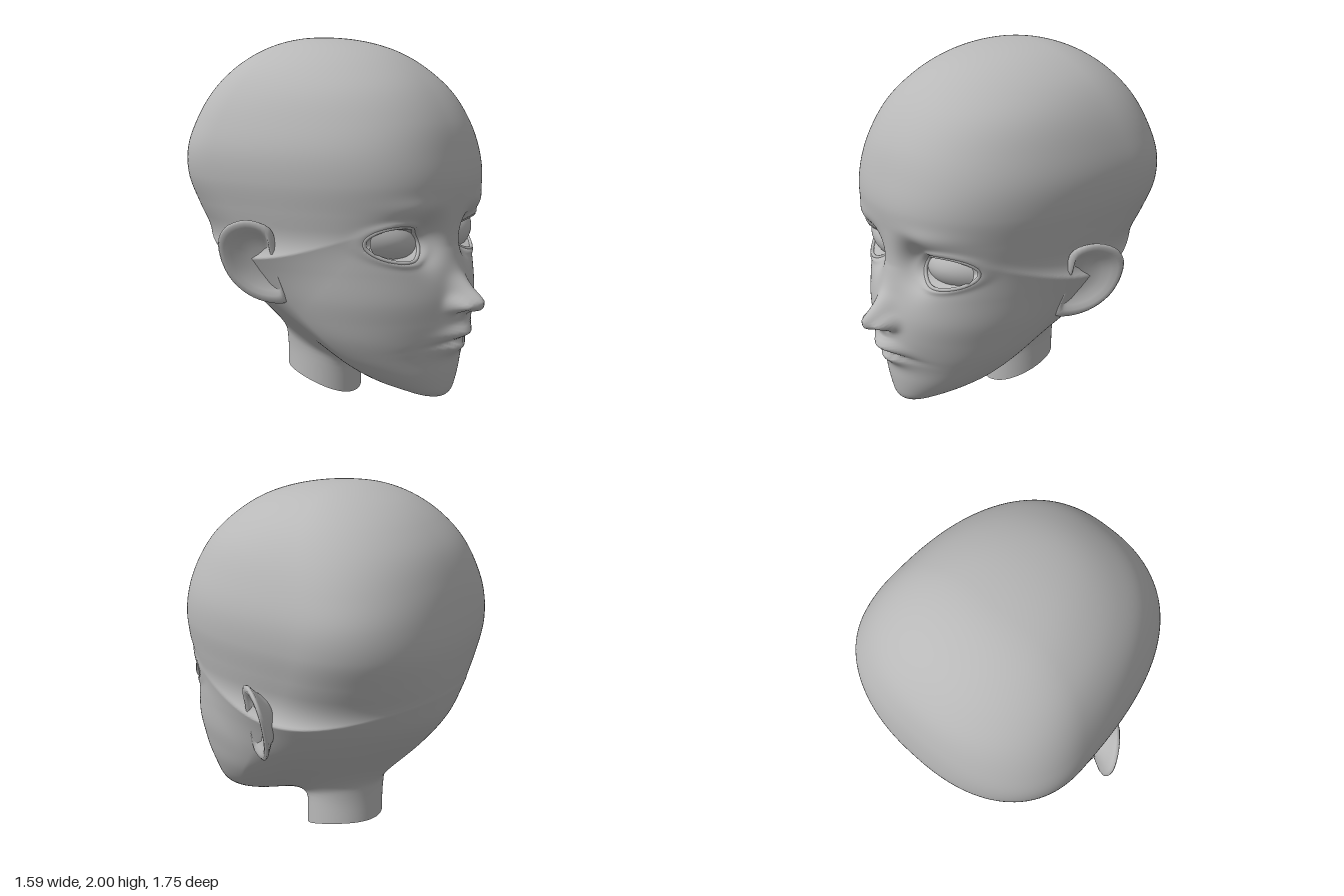
import * as THREE from 'three';
import { mergeVertices } from 'three/addons/utils/BufferGeometryUtils.js';

const V = (x, y, z) => new THREE.Vector3(x, y, z);
const g = (t, s) => Math.exp(-(t * t) / (s * s));

// Smooth curve through rows [key, a, b, ...]
function sample(rows, key) {
  const last = rows.length - 1;
  if (key <= rows[0][0]) return rows[0].slice(1);
  if (key >= rows[last][0]) return rows[last].slice(1);
  let i = 0;
  while (key > rows[i + 1][0]) i++;
  const h = rows[i + 1][0] - rows[i][0], t = (key - rows[i][0]) / h;
  const slope = (n, c) => {
    const a = rows[Math.max(n - 1, 0)], b = rows[Math.min(n + 1, last)];
    return (b[c] - a[c]) / (b[0] - a[0]);
  };
  return rows[i].slice(1).map((v, k) => THREE.MathUtils.clamp(
    (2 * t ** 3 - 3 * t * t + 1) * v + (3 * t * t - 2 * t ** 3) * rows[i + 1][k + 1]
    + h * ((t ** 3 - 2 * t * t + t) * slope(i, k + 1) + (t ** 3 - t * t) * slope(i + 1, k + 1)),
    Math.min(v, rows[i + 1][k + 1]) - 0.02, Math.max(v, rows[i + 1][k + 1]) + 0.02));
}

// Horizontal sections: height, half width, front z, widest z, back z, front and back roundness
const poleKey = (y) => Math.asin(THREE.MathUtils.clamp((y - 1.05) / 0.95, -1, 1));
const sections = [
  [0.10, 0.03, 0.62, 0.58, 0.52, 2, 2],
  [0.13, 0.13, 0.665, 0.52, 0.40, 2, 2],
  [0.18, 0.22, 0.68, 0.42, 0.18, 1.9, 1.8],
  [0.25, 0.31, 0.69, 0.33, 0.02, 1.85, 1.6],
  [0.33, 0.385, 0.695, 0.26, -0.17, 1.85, 1.45],
  [0.43, 0.455, 0.715, 0.18, -0.385, 1.9, 1.4],
  [0.53, 0.505, 0.735, 0.10, -0.54, 1.95, 1.5],
  [0.65, 0.55, 0.735, 0.01, -0.67, 2.1, 1.7],
  [0.80, 0.585, 0.71, -0.09, -0.78, 2.25, 1.95],
  [0.95, 0.615, 0.70, -0.18, -0.83, 2.35, 2.15],
  [1.10, 0.655, 0.71, -0.27, -0.86, 2.45, 2.3],
  [1.25, 0.69, 0.725, -0.34, -0.875, 2.5, 2.4],
  [1.40, 0.695, 0.70, -0.36, -0.86, 2.5, 2.4],
  [1.55, 0.66, 0.65, -0.33, -0.825, 2.4, 2.3],
  [1.70, 0.595, 0.555, -0.28, -0.76, 2.3, 2.2],
  [1.82, 0.505, 0.43, -0.24, -0.66, 2.1, 2.1],
  [1.91, 0.385, 0.28, -0.22, -0.54, 2, 2],
  [1.97, 0.24, 0.09, -0.20, -0.40, 2, 2],
  [2.00, 0.01, -0.19, -0.20, -0.21, 2, 2],
].map(([y, ...rest]) => [poleKey(y), ...rest]);

const noseProfile = [[0.53, 0], [0.575, 0.035], [0.603, 0.12], [0.63, 0.138], [0.655, 0.14],
  [0.715, 0.078], [0.79, 0.025], [0.92, 0]];

const EYE = { x: 0.312, y: 0.95, w: 0.145, h: 0.088, tilt: 0.1 };

// How far the features push the face forward
function relief(x, y) {
  const ax = Math.abs(x);
  let d = sample(noseProfile, y)[0] * g(ax, 0.065);
  d += 0.06 * g(ax - 0.075, 0.035) * g(y - 0.625, 0.035);          // nostril wings
  d -= 0.025 * g(ax - 0.045, 0.02) * g(y - 0.588, 0.016);          // nostrils
  d += 0.025 * g(ax, 0.16) * g(y - 0.47, 0.1);                     // muzzle
  const line = 0.428 - 0.5 * ax * ax;                              // lips
  d += 0.04 * g(ax, 0.12) * g(y - line - 0.045, 0.035);
  d += 0.03 * g(ax, 0.09) * g(y - line + 0.04, 0.035);
  d -= 0.024 * g(ax, 0.15) * g(y - line, 0.017);
  d -= 0.055 * g(ax - 0.27, 0.13) * g(y - 0.96, 0.09);             // eye sockets
  d -= 0.09 * g(ax - 0.18, 0.085) * g(y - 0.95, 0.11);
  d += 0.015 * g(ax - 0.28, 0.16) * g(y - 1.13, 0.05);             // brows
  const ex = (ax - EYE.x) / EYE.w, ey = (y - EYE.y - EYE.tilt * (ax - EYE.x)) / EYE.h;
  const r = Math.hypot(ex, ey);
  d += 0.014 * g(r - 1.15, 0.18);                                  // eyelids
  d -= 0.06 * (1 - THREE.MathUtils.smoothstep(r, 0.75, 1.02));     // eye openings
  return d;
}

// Negative inside the head and neck
function field(x, y, z) {
  const [w, zf, zc, zb, pf, pb] = sample(sections, poleKey(y));
  const zz = z > 0.2 ? z - relief(x, y) * THREE.MathUtils.smoothstep(z, 0.2, 0.4) : z;
  const front = zz > zc, b = front ? zf - zc : zc - zb, p = front ? pf : pb;
  const q = (Math.abs(x / w) ** p + Math.abs((zz - zc) / b) ** p) ** (1 / p);
  const head = Math.max((q - 1) * Math.min(w, b), y - 2, 0.1 - y);
  // The neck flares towards the skull
  const flare = Math.max(y - 0.2, 0) ** 2;
  const round = Math.hypot(x / (0.2 + 0.8 * flare), (z + 0.19) / (0.22 + 0.2 * flare));
  const neck = Math.max((round - 1) * 0.2, y - 0.8);
  const k = 0.22, h = Math.max(k - Math.abs(head - neck), 0) / k;
  return Math.min(head, neck) - h * h * k / 4;
}

// Distance along a ray to the surface
function cast(o, dir, near, far) {
  for (let i = 0; i < 28; i++) {
    const m = (near + far) / 2;
    if (field(o.x + dir.x * m, o.y + dir.y * m, o.z + dir.z * m) < 0) near = m; else far = m;
  }
  return near;
}
const faceZ = (x, y) => 0.2 + cast(V(x, y, 0.2), V(0, 0, 1), 0, 0.9);

// Smooth surface of nu rows, each a closed loop of nv points
function loft(nu, nv, fn, flip = false) {
  const pos = [], idx = [];
  for (let i = 0; i <= nu; i++)
    for (let j = 0; j < nv; j++) pos.push(...fn(i / nu, j / nv, i).toArray());
  for (let i = 0; i < nu; i++)
    for (let j = 0; j < nv; j++) {
      const k = (j + 1) % nv, a = i * nv + j, b = a + nv, c = i * nv + k, d = c + nv;
      idx.push(...(flip ? [a, c, b, b, c, d] : [a, b, c, b, d, c]));
    }
  let geo = new THREE.BufferGeometry();
  geo.setAttribute('position', new THREE.Float32BufferAttribute(pos, 3));
  geo.setIndex(idx);
  geo = mergeVertices(geo, 1e-5);
  geo.computeVertexNormals();
  return geo;
}

// Skull, face and open neck, finer towards the face
function headGeometry() {
  const c = V(0, 1, -0.19);
  return loft(260, 220, (u, v) => {
    const a = v * Math.PI * 2, phi = a - 0.5 * Math.sin(a);
    const sx = Math.sin(phi), cz = Math.cos(phi);
    const rho = 1 / Math.hypot(sx / 0.2, cz / 0.22);
    const t = (0.03 - (c.z + rho * cz)) / 0.44;
    const theta = u * Math.atan2(rho, 0.13 * (2 * t - t * t) - 1);
    const dir = V(Math.sin(theta) * sx, Math.cos(theta), Math.sin(theta) * cz);
    return dir.clone().multiplyScalar(cast(c, dir, 0.1, 1.7)).add(c);
  });
}

// Point in the tilted oval of an eye
function eyePoint(r, angle) {
  const dx = Math.cos(angle) * EYE.w * r;
  return [EYE.x + dx, EYE.y + Math.sin(angle) * EYE.h * r + EYE.tilt * dx];
}

// Domed eyeball, turned outwards
const eyeGeometry = (side) => loft(10, 40, (u, v) => {
  const [x, y] = eyePoint(u * 1.03, v * Math.PI * 2);
  return V(side * x, y, 0.537 - 0.22 * (x - EYE.x) + 0.045 * (1 - u * u));
}, side < 0);

// Soft rim around the eye opening
function lidGeometry(side) {
  const pts = [];
  for (let i = 0; i < 32; i++) {
    const [x, y] = eyePoint(1.04, i / 32 * Math.PI * 2);
    pts.push(V(side * x, y, faceZ(x, y) - 0.006));
  }
  return new THREE.TubeGeometry(new THREE.CatmullRomCurve3(pts, true), 64, 0.01, 8, true);
}

// Ear outline as z, y; rings as scale and sideways offset, from the hollow round to the back
const earOutline = new THREE.CatmullRomCurve3([
  [0.02, 0.62], [-0.04, 0.61], [-0.13, 0.645], [-0.20, 0.73], [-0.23, 0.85], [-0.22, 0.96],
  [-0.17, 1.03], [-0.08, 1.06], [0, 1.02], [0.01, 0.92], [0.015, 0.77],
].map(([z, y]) => V(0, y, z)), true);
const earRings = [[0, -0.045], [0.3, -0.045], [0.55, -0.035], [0.7, -0.012], [0.82, 0.004],
  [0.92, 0.008], [1, -0.004], [0.98, -0.02], [0.88, -0.04], [0.75, -0.065], [0.62, -0.1], [0.5, -0.16]];

const earGeometry = (side) => loft(earRings.length - 1, 40, (u, v, i) => {
  const [s, off] = earRings[i], p = earOutline.getPoint(v);
  const z = -0.08 + (p.z + 0.08) * s, y = 0.84 + (p.y - 0.84) * s;
  return V(side * (0.63 + 0.68 * (0.02 - z) + 0.25 * (y - 0.95) + off), y, z);
}, side < 0);

export function createModel() {
  const model = new THREE.Group();
  model.name = 'headBust';
  const clay = new THREE.MeshStandardMaterial({ color: 0xb8b8b8, side: THREE.DoubleSide });
  clay.name = 'greyClay';
  const add = (name, geo) => {
    const mesh = new THREE.Mesh(geo, clay);
    mesh.name = name;
    model.add(mesh);
  };
  add('headAndNeck', headGeometry());
  for (const [label, side] of [['left', 1], ['right', -1]]) {
    add(label + 'Eye', eyeGeometry(side));
    add(label + 'Eyelids', lidGeometry(side));
    add(label + 'Ear', earGeometry(side));
  }
  return model;
}
